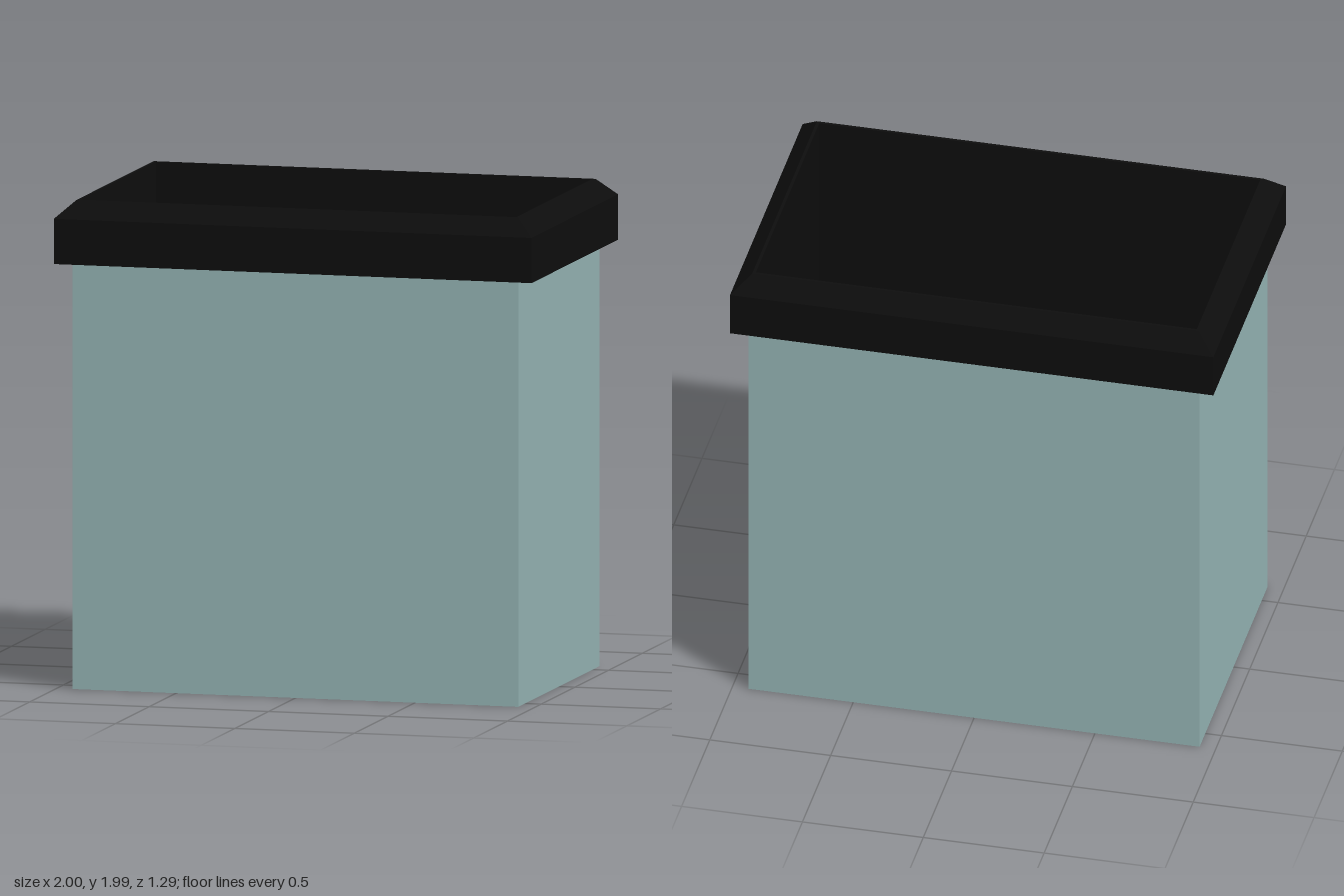
import * as THREE from 'three';

// Skin a list of rectangular sections [halfX, y, halfZ]; flat facets.
// Sections run so that the outside lies on the right of the path (upwards = outer wall).
function rectLoft(sections, capEnd = 0) {
  const pos = [];
  const ring = ([x, y, z]) => [[x, y, z], [x, y, -z], [-x, y, -z], [-x, y, z]];
  const quad = (a, b, c, d) => pos.push(...a, ...b, ...c, ...a, ...c, ...d);
  for (let i = 0; i < sections.length - 1; i++) {
    const lo = ring(sections[i]), hi = ring(sections[i + 1]);
    for (let k = 0; k < 4; k++) {
      const n = (k + 1) % 4;
      quad(lo[k], lo[n], hi[n], hi[k]);
    }
  }
  // Floor closing the last section, facing up
  if (capEnd) quad(...ring(sections[sections.length - 1]));
  const geo = new THREE.BufferGeometry();
  geo.setAttribute('position', new THREE.Float32BufferAttribute(pos, 3));
  geo.computeVertexNormals();
  return geo;
}

export function createModel() {
  const shellMat = new THREE.MeshStandardMaterial({ color: 0x93b2b2 });
  shellMat.name = 'greyTeal';
  const blackMat = new THREE.MeshStandardMaterial({ color: 0x0d0d0d });
  blackMat.name = 'black';

  const group = new THREE.Group();
  group.name = 'openBin';
  const add = (name, geo, mat) => {
    const mesh = new THREE.Mesh(geo, mat);
    mesh.name = name;
    group.add(mesh);
  };

  // Outer shell: base, then the four walls up into the rim
  add('shell', rectLoft([[0, 0, 0], [0.933, 0, 0.6], [0.933, 1.74, 0.6]]), shellMat);

  // Overhanging rim: underside, outer band, chamfer and narrow top lip
  add('rim', rectLoft([
    [0.933, 1.733, 0.6], [1, 1.733, 0.643], [1, 1.917, 0.643],
    [0.925, 1.987, 0.573], [0.912, 1.987, 0.56],
  ]), blackMat);

  // Inner liner: walls going down from the lip to the floor
  add('liner', rectLoft([[0.912, 1.987, 0.56], [0.912, 0.03, 0.56]], 1), blackMat);

  return group;
}
